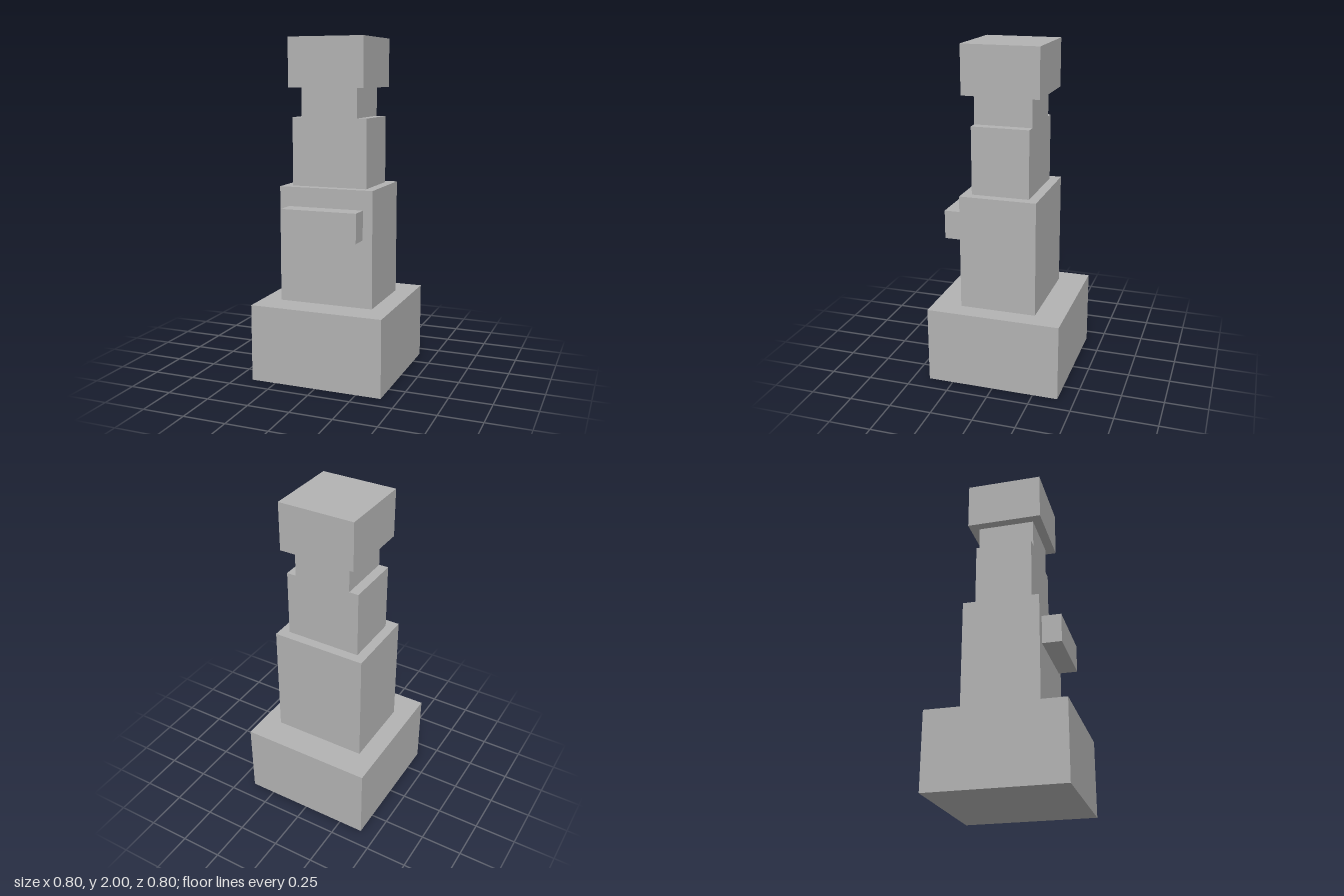
import * as THREE from 'three';

const U = 2 / 35; // block unit: the whole figure is 35 units tall

export function createModel() {
  const group = new THREE.Group();
  group.name = 'blockStatue';

  const stone = new THREE.MeshStandardMaterial({ color: 0xb3b3b3 });
  stone.name = 'grey stone';

  // Box given by width, bottom, top and depth in units, optionally shifted in z
  function block(name, width, bottom, top, depth, z = 0) {
    const geometry = new THREE.BoxGeometry(width * U, (top - bottom) * U, depth * U);
    const mesh = new THREE.Mesh(geometry, stone);
    mesh.name = name;
    mesh.position.set(0, ((bottom + top) / 2) * U, z * U);
    group.add(mesh);
  }

  block('base', 14, 0, 8, 14);
  block('lowerBody', 10, 8, 20, 8);
  block('upperBody', 8, 20, 27, 6);
  block('neck', 6, 27, 30, 6);
  block('head', 8, 30, 35, 8);

  // Bar across the front of the lower body
  block('frontBar', 8, 15, 18, 2, 5);

  return group;
}
